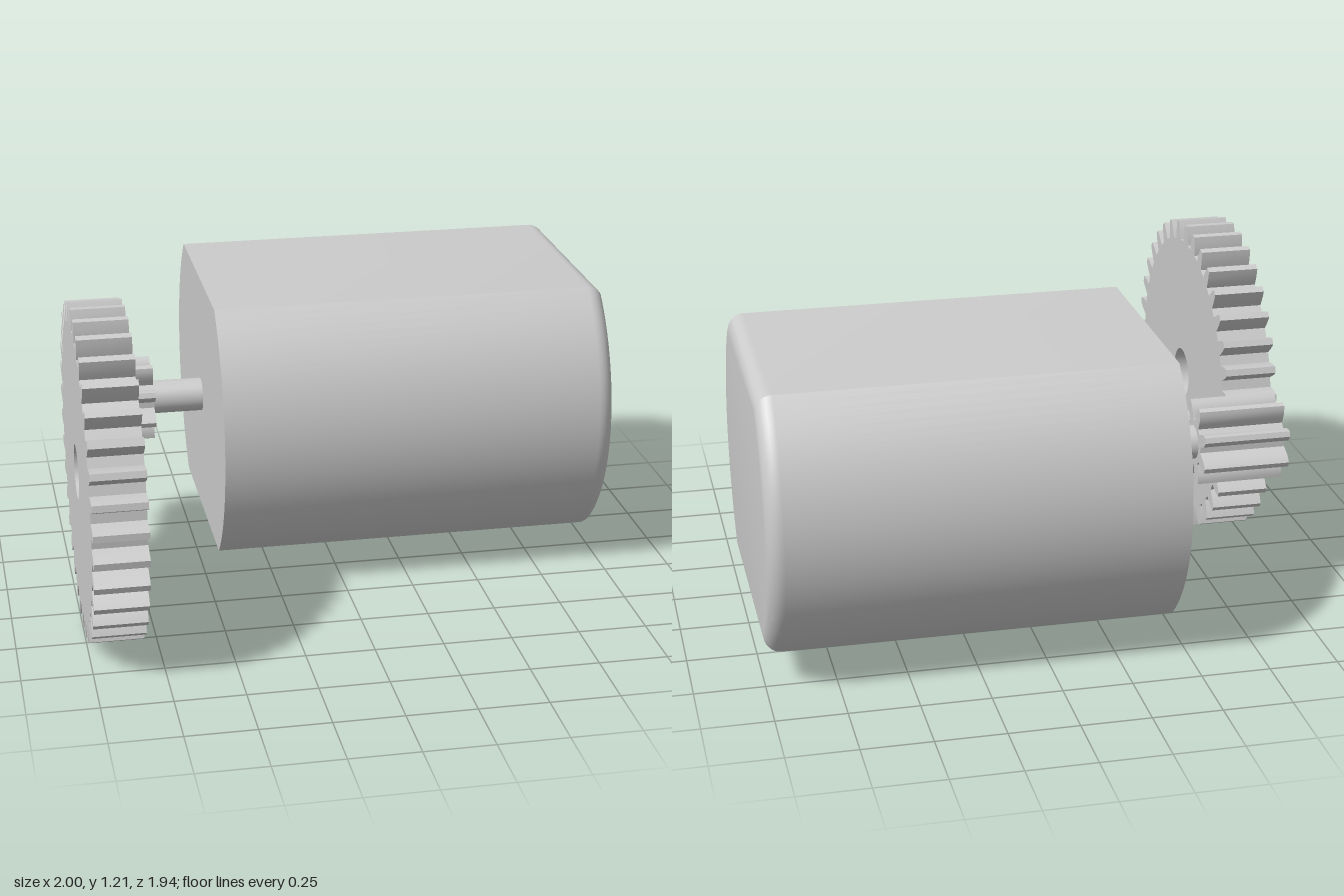
import * as THREE from 'three';
import { toCreasedNormals } from 'three/addons/utils/BufferGeometryUtils.js';

const material = new THREE.MeshStandardMaterial({ color: 0xcccccc });
const AXIS_Y = 0.605;      // height shared by both axes
const MOTOR_Z = -0.333;
const GEAR_Z = 0.365;

function part(name, geometry, x, z) {
  const mesh = new THREE.Mesh(geometry, material);
  mesh.name = name;
  mesh.position.set(x, AXIS_Y, z);
  return mesh;
}

// Spur gear with a bore, extruded along +x. flank = [radius, half width] pairs from root to tip.
function gearGeometry(teeth, phase, flank, bore, width) {
  const points = [];
  const addPoint = (r, a) => points.push(new THREE.Vector2(r * Math.cos(a), r * Math.sin(a)));
  for (let i = 0; i < teeth; i++) {
    const a = phase + (i / teeth) * Math.PI * 2;
    flank.forEach(([r, w]) => addPoint(r, a - w / r));
    [...flank].reverse().forEach(([r, w]) => addPoint(r, a + w / r));
  }
  const shape = new THREE.Shape(points);
  shape.holes.push(new THREE.Path().absarc(0, 0, bore, 0, Math.PI * 2, true));
  const geometry = new THREE.ExtrudeGeometry(shape, { depth: width, bevelEnabled: false, curveSegments: 24 });
  geometry.rotateY(Math.PI / 2);
  return toCreasedNormals(geometry, 0.5);
}

// Circle cut by two flats, inset by d; points are [y, z] and run from +y towards +z.
function canSection(d) {
  const r = 0.633 - d, h = 0.475 - d, N = 32, points = [];
  const a = Math.asin(h / r);
  for (const side of [0, Math.PI]) {
    for (let i = 0; i <= N; i++) {
      const t = side + a - (2 * a * i) / N;
      points.push([r * Math.sin(t), r * Math.cos(t)]);
    }
  }
  return points;
}

// Motor can: sections along x, with a rounded edge at the far end
function canGeometry(x0, x1, round) {
  const stations = [[x0, 0]];
  for (let i = 0; i <= 8; i++) {
    const t = (i / 8) * Math.PI / 2;
    stations.push([x1 - round + round * Math.sin(t), round * (1 - Math.cos(t))]);
  }
  const positions = [], index = [];
  const n = canSection(0).length;
  for (const [x, d] of stations) canSection(d).forEach(([y, z]) => positions.push(x, y, z));
  for (let s = 0; s < stations.length - 1; s++) {
    for (let i = 0; i < n; i++) {
      const a = s * n + i, b = s * n + (i + 1) % n;
      index.push(a, b, a + n, b, b + n, a + n);
    }
  }
  // Flat end faces
  const c0 = positions.length / 3, last = (stations.length - 1) * n;
  positions.push(x0, 0, 0, x1, 0, 0);
  for (let i = 0; i < n; i++) {
    const j = (i + 1) % n;
    index.push(c0, j, i, c0 + 1, last + i, last + j);
  }
  const geometry = new THREE.BufferGeometry();
  geometry.setAttribute('position', new THREE.Float32BufferAttribute(positions, 3));
  // Orient every face outwards from the convex body's centre
  const p = new THREE.Vector3(), q = new THREE.Vector3(), r = new THREE.Vector3();
  const centre = new THREE.Vector3((x0 + x1) / 2, 0, 0);
  for (let i = 0; i < index.length; i += 3) {
    [p, q, r].forEach((v, k) => v.fromArray(positions, index[i + k] * 3));
    const normal = q.clone().sub(p).cross(r.clone().sub(p));
    if (normal.dot(p.clone().sub(centre)) < 0) [index[i + 1], index[i + 2]] = [index[i + 2], index[i + 1]];
  }
  geometry.setIndex(index);
  return toCreasedNormals(geometry, 0.5);
}

export function createModel() {
  const model = new THREE.Group();
  model.name = 'gearMotor';

  model.add(part('motorCan', canGeometry(-0.46, 1, 0.06), 0, MOTOR_Z));

  // Shaft stops short of the pinion's outer face, leaving its bore open
  const shaft = new THREE.CylinderGeometry(0.0625, 0.0625, 0.43, 32).rotateZ(Math.PI / 2);
  model.add(part('shaft', shaft, -0.665, MOTOR_Z));

  // Pinion turned half a tooth so that its gap takes the large gear's tooth
  const pinionFlank = [[0.087, 0.023], [0.108, 0.023], [0.127, 0.023], [0.145, 0.017], [0.157, 0.01]];
  model.add(part('pinion', gearGeometry(8, Math.PI / 8, pinionFlank, 0.0625, 0.32), -0.97, MOTOR_Z));

  const gearFlank = [[0.535, 0.028], [0.555, 0.025], [0.58, 0.02], [0.605, 0.012]];
  model.add(part('largeGear', gearGeometry(36, 0, gearFlank, 0.097, 0.19), -1, GEAR_Z));

  return model;
}
